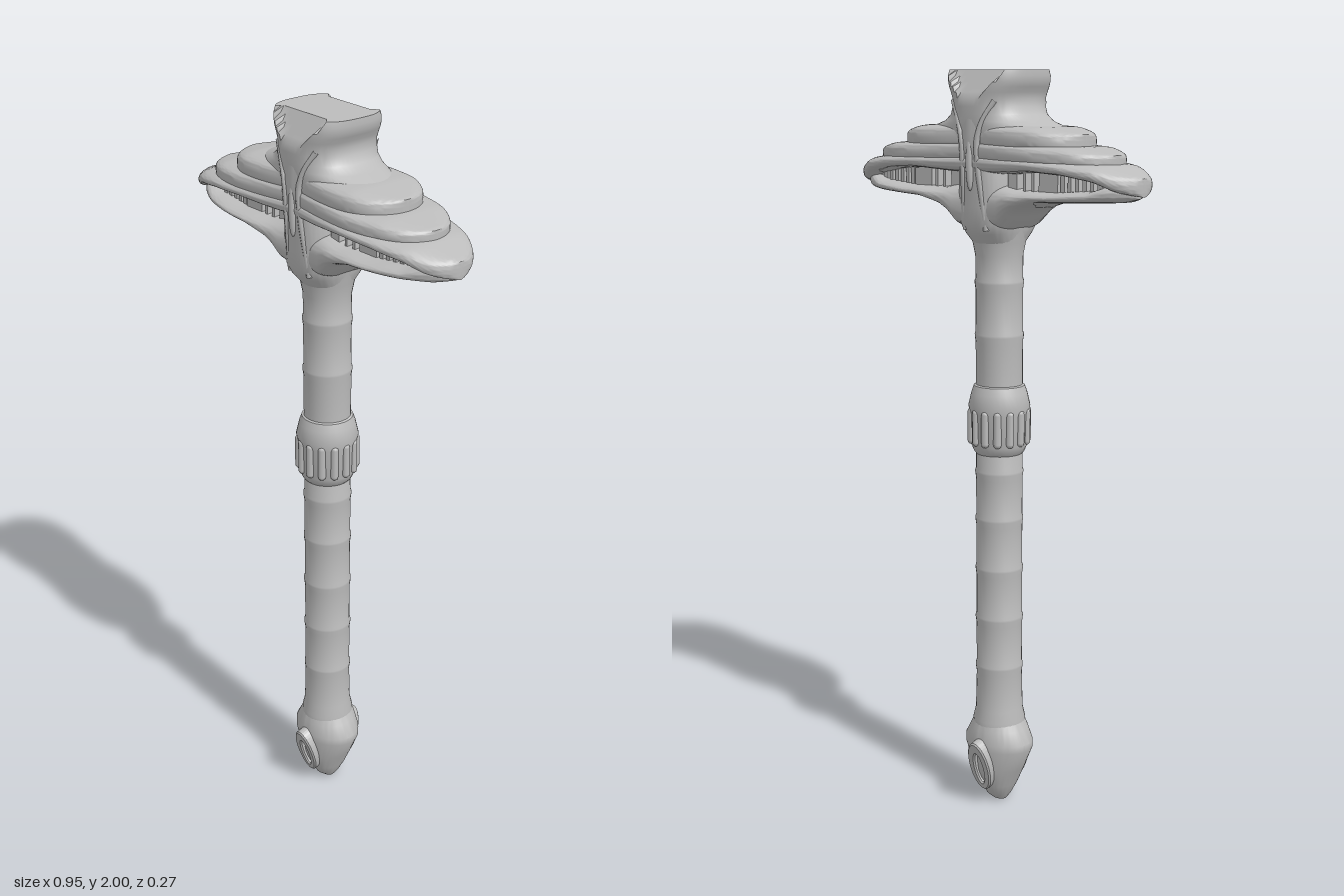
import * as THREE from 'three';
import { toCreasedNormals } from 'three/addons/utils/BufferGeometryUtils.js';

// Piecewise-linear lookup in [[key, value], ...]
function lerpTable(table, k) {
  for (let i = 1; i < table.length; i++) {
    const [k0, v0] = table[i - 1], [k1, v1] = table[i];
    if (k <= k1) return v0 + (v1 - v0) * Math.max(0, (k - k0) / (k1 - k0));
  }
  return table[table.length - 1][1];
}

// Superellipse loop of [u, v] offsets; a higher n is squarer
function loop(w, h, n, count = 64) {
  const power = (c) => Math.sign(c) * Math.abs(c) ** (2 / n);
  return Array.from({ length: count }, (_, i) => {
    const a = (i / count) * Math.PI * 2;
    return [w * power(Math.cos(a)), h * power(Math.sin(a))];
  });
}

// Skin a list of rings and close both ends, faces always outward
function loft(rings, crease = 0.6) {
  const n = rings[0].length, pos = rings.flat(2), idx = [];
  for (let r = 0; r < rings.length - 1; r++)
    for (let i = 0; i < n; i++) {
      const a = r * n + i, b = r * n + (i + 1) % n;
      idx.push(a, a + n, b, b, a + n, b + n);
    }
  [0, rings.length - 1].forEach((r, end) => {
    const c = pos.length / 3;
    for (let k = 0; k < 3; k++) pos.push(rings[r].reduce((s, p) => s + p[k], 0) / n);
    for (let i = 0; i < n; i++) {
      const a = r * n + i, b = r * n + (i + 1) % n;
      idx.push(...(end ? [a, c, b] : [a, b, c]));
    }
  });
  const v = (i) => new THREE.Vector3().fromArray(pos, i * 3);
  let volume = 0;
  for (let i = 0; i < idx.length; i += 3) volume += v(idx[i]).dot(v(idx[i + 1]).cross(v(idx[i + 2])));
  if (volume < 0) idx.reverse();
  const g = new THREE.BufferGeometry();
  g.setAttribute('position', new THREE.Float32BufferAttribute(pos, 3));
  g.setIndex(idx);
  return toCreasedNormals(g, crease);
}

// Upright body from rows of [y, halfX, halfZ, squareness]
const upright = (rows, rule = (p) => p) =>
  loft(rows.map(([y, w, d, n]) => loop(w, d, n).map(([x, z]) => rule([x, y, z]))));

// Wing pair lofted across x, with narrow waist and rounded tips
const waist = [[0, 0.113], [0.1, 0.126], [0.2, 0.137], [0.3, 0.14]];
function wing(end, top, bottom, scale, n) {
  const rings = [];
  for (let i = 0; i <= 56; i++) {
    const x = end * Math.sin((i / 56 - 0.5) * Math.PI), ax = Math.abs(x);
    const t = lerpTable(top, ax), b = lerpTable(bottom, ax);
    const d = scale * lerpTable(waist, ax) * Math.sqrt(Math.max(1 - (ax / end) ** 4, 0.0004));
    rings.push(loop(d, (t - b) / 2, n).map(([z, y]) => [x, (t + b) / 2 + y, z]));
  }
  return loft(rings);
}

export function createModel() {
  const group = new THREE.Group();
  const metal = new THREE.MeshStandardMaterial({ color: 0xbcbcbc });
  metal.name = 'grey metal';
  const add = (name, geometry, parent = group) => {
    const mesh = new THREE.Mesh(geometry, metal);
    mesh.name = name;
    parent.add(mesh);
    return mesh;
  };

  // Grip: shaft with faintly raised seams, flaring into the guard
  const profile = [[0.05, 0.2], [0.072, 0.22], [0.072, 0.245], [0.065, 0.275]];
  for (const y of [0.4, 0.54, 0.68, 0.82, 0.95, 1.32, 1.46])
    profile.push([0.0625, y - 0.02], [0.065, y - 0.003], [0.065, y + 0.003], [0.0625, y + 0.01]);
  profile.push([0.063, 1.53], [0.07, 1.565], [0.078, 1.6], [0.06, 1.62]);
  add('grip', toCreasedNormals(new THREE.LatheGeometry(
    profile.map(([r, y]) => new THREE.Vector2(r, y)), 32), 0.6));

  // Middle collar with upright studs
  add('gripCollar', toCreasedNormals(new THREE.LatheGeometry(
    [[0.058, 0.995], [0.067, 1.005], [0.076, 1.025], [0.078, 1.11], [0.083, 1.13],
      [0.075, 1.165], [0.068, 1.185], [0.058, 1.19]].map(([r, y]) => new THREE.Vector2(r, y)), 32), 0.6));
  for (let i = 0; i < 14; i++) {
    const a = ((i + 0.5) / 14) * Math.PI * 2;
    const stud = add('collarStud', new THREE.CapsuleGeometry(0.011, 0.078, 3, 8));
    stud.position.set(0.075 * Math.sin(a), 1.075, 0.075 * Math.cos(a));
    stud.rotation.y = a;
  }

  // Pommel: wide across x, tapering to a blunt point
  add('pommel', upright([
    [0, 0.022, 0.016, 2], [0.015, 0.033, 0.034, 2], [0.05, 0.05, 0.056, 2], [0.1, 0.072, 0.072, 2],
    [0.165, 0.104, 0.082, 1.9], [0.185, 0.104, 0.082, 1.9], [0.22, 0.082, 0.076, 2], [0.245, 0.068, 0.068, 2]]));

  // Oval eyelets on both pommel faces
  const oval = new THREE.Shape().absellipse(0, 0, 0.034, 0.073, 0, Math.PI * 2);
  oval.holes.push(new THREE.Path().absellipse(0, -0.006, 0.018, 0.052, 0, Math.PI * 2));
  const eyelet = new THREE.ExtrudeGeometry(oval, {
    depth: 0.03, bevelEnabled: true, bevelSize: 0.004, bevelThickness: 0.004, bevelSegments: 1, curveSegments: 20 });
  for (const turn of [0, Math.PI]) {
    const side = new THREE.Group();
    side.name = 'pommelFace';
    side.rotation.y = turn;
    group.add(side);
    const ring = add('pommelEyelet', eyelet, side);
    ring.position.set(0, 0.125, 0.053);
    ring.rotation.x = 0.28;
  }

  // Guard: three stepped wing plates over a lower shell
  add('lowerPlate', wing(0.473, [[0, 1.8], [0.3, 1.785], [0.39, 1.775], [0.473, 1.745]],
    [[0, 1.74], [0.09, 1.742], [0.2, 1.75], [0.3, 1.744], [0.38, 1.73], [0.43, 1.708], [0.473, 1.7]], 1, 2.6));
  add('middlePlate', wing(0.39, [[0, 1.83], [0.3, 1.815], [0.39, 1.797]],
    [[0, 1.77], [0.39, 1.76]], 0.97, 4));
  add('upperPlate', wing(0.29, [[0, 1.87], [0.2, 1.862], [0.29, 1.845]],
    [[0, 1.8], [0.29, 1.795]], 0.93, 4));
  add('lowerShell', wing(0.458,
    [[0, 1.73], [0.08, 1.718], [0.13, 1.705], [0.25, 1.705], [0.36, 1.714], [0.41, 1.732], [0.458, 1.735]],
    [[0, 1.58], [0.075, 1.6], [0.1, 1.632], [0.13, 1.655], [0.2, 1.675], [0.42, 1.685], [0.458, 1.695]], 0.82, 2.6));

  // Posts standing in the slots between plate and shell
  const posts = [[0.1, 0.03], [0.14, 0.009], [0.168, 0.009], [0.218, 0.062], [0.262, 0.012], [0.283, 0.011],
    [0.305, 0.011], [0.328, 0.012], [0.35, 0.012], [0.374, 0.016], [0.405, 0.03]];
  for (const s of [-1, 1])
    for (const [x, w] of posts)
      add('slotPost', new THREE.BoxGeometry(w, 0.06, 0.12 - 0.13 * Math.max(0, x - 0.2)))
        .position.set(s * x, 1.728, 0);

  // Central pillar joining grip, guard and blade socket
  add('pillar', upright([
    [1.56, 0.066, 0.066, 2], [1.59, 0.075, 0.092, 2.3], [1.615, 0.082, 0.103, 2.6], [1.66, 0.085, 0.104, 2.8],
    [1.76, 0.08, 0.112, 2.6], [1.84, 0.07, 0.118, 2.4], [1.92, 0.07, 0.112, 2.4]]));

  // Blade socket: sweeps up from the wings, with sloping pockets at front and back
  add('bladeSocket', upright([
    [1.835, 0.25, 0.112, 2], [1.86, 0.2, 0.114, 2.1], [1.873, 0.15, 0.115, 2.2], [1.89, 0.118, 0.115, 2.4],
    [1.91, 0.106, 0.115, 2.6], [1.93, 0.103, 0.114, 2.8], [1.945, 0.107, 0.114, 3], [1.958, 0.114, 0.114, 3],
    [1.97, 0.119, 0.113, 3], [1.985, 0.121, 0.112, 3], [2, 0.12, 0.106, 3]],
  ([x, y, z]) => {
    const inPocket = y > 1.93 + 0.065 * (x / 0.09) ** 2;
    const limit = inPocket ? 0.068 + 0.64 * (2 - y) : 1;
    return [x, y, Math.sign(z) * Math.min(Math.abs(z), limit)];
  }));

  // Raised ribs on the pillar, forking towards the socket
  for (const fz of [-1, 1]) {
    for (const sx of [-1, 1]) {
      const path = new THREE.CatmullRomCurve3([[0.036, 1.6, 0.088], [0.032, 1.67, 0.097], [0.026, 1.76, 0.108],
        [0.027, 1.83, 0.112], [0.044, 1.88, 0.106], [0.07, 1.925, 0.094]]
        .map(([x, y, z]) => new THREE.Vector3(sx * x, y, fz * z)));
      add('pillarRib', new THREE.TubeGeometry(path, 24, 0.008, 8));
    }
    const spine = add('pillarSpine', new THREE.SphereGeometry(1, 12, 12));
    spine.scale.set(0.012, 0.07, 0.011);
    spine.position.set(0, 1.77, fz * 0.11);
  }

  return group;
}
